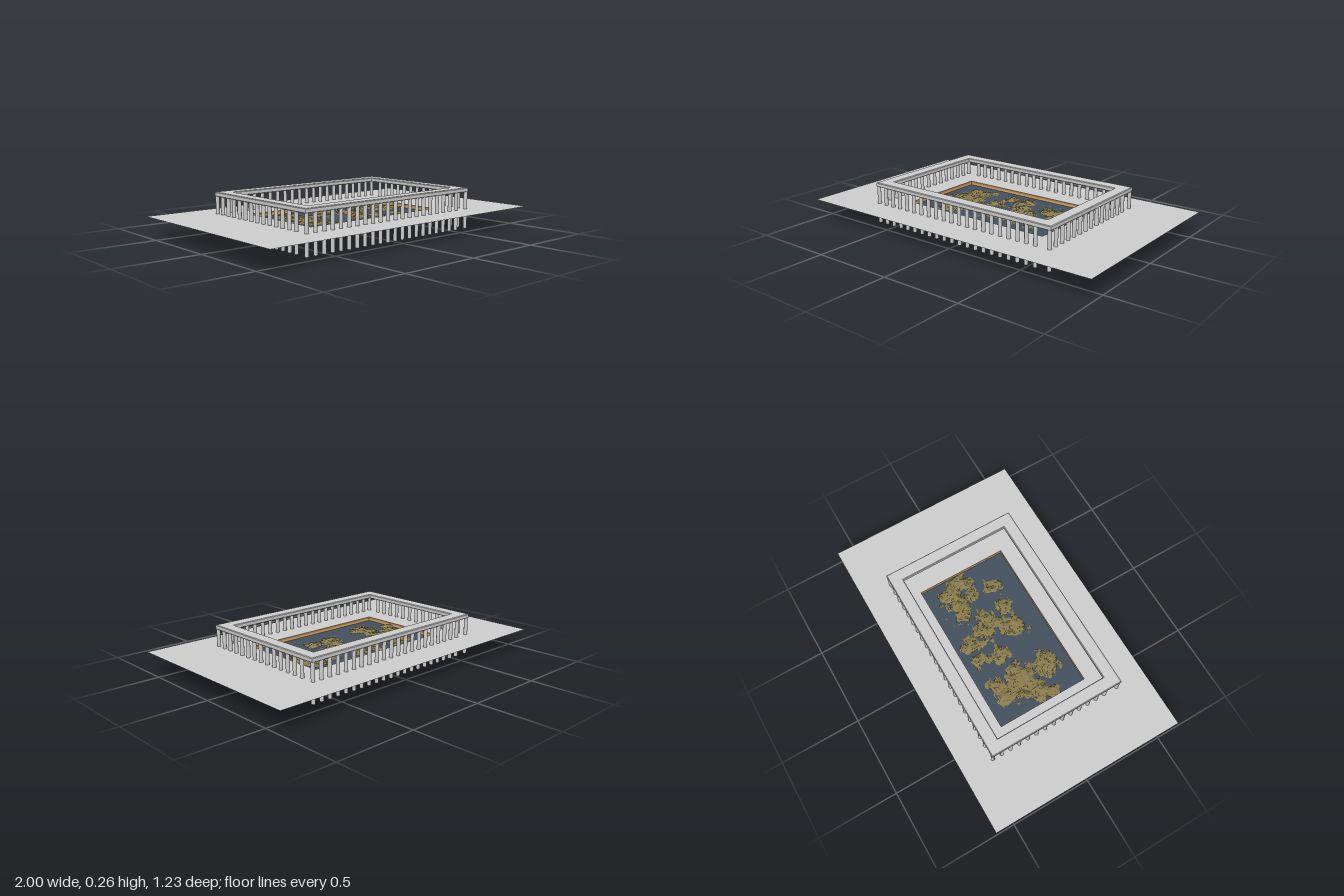
import * as THREE from 'three';

const material = (color, extra = {}) => new THREE.MeshStandardMaterial({ color, ...extra });

const HOLE_X = 0.493, HOLE_Z = 0.288, WATER_Y = 0.1, FLOOR_Y = 0.125;

function rectPath(PathType, hx, hz) {
  const p = new PathType();
  p.moveTo(-hx, -hz);
  p.lineTo(hx, -hz);
  p.lineTo(hx, hz);
  p.lineTo(-hx, hz);
  p.closePath();
  return p;
}

// Flat rectangular ring lying in XZ, extruded from y0 to y1
function ring(name, outer, inner, y0, y1, mat, bevel = 0) {
  const shape = rectPath(THREE.Shape, outer[0] - bevel, outer[1] - bevel);
  shape.holes.push(rectPath(THREE.Path, inner[0] + bevel, inner[1] + bevel));
  const geo = new THREE.ExtrudeGeometry(shape, {
    depth: y1 - y0 - 2 * bevel, bevelEnabled: bevel > 0,
    bevelSize: bevel, bevelThickness: bevel, bevelSegments: 1,
  });
  geo.rotateX(-Math.PI / 2);
  const mesh = new THREE.Mesh(geo, mat);
  mesh.name = name;
  mesh.position.y = y0 + bevel;
  return mesh;
}

// Seeded lattice noise, smooth between grid points, in -1..1
function hash(i, j) {
  const s = Math.sin(i * 127.1 + j * 311.7 + 17.3) * 43758.5453;
  return (s - Math.floor(s)) * 2 - 1;
}
function noise(x, z) {
  const i = Math.floor(x), j = Math.floor(z), ease = (t) => t * t * (3 - 2 * t);
  const u = ease(x - i), v = ease(z - j), mix = THREE.MathUtils.lerp;
  return mix(mix(hash(i, j), hash(i + 1, j), u), mix(hash(i, j + 1), hash(i + 1, j + 1), u), v);
}

// Land masses: x, z, radius
const LAND = [
  [-0.32, -0.05, 0.12], [-0.35, -0.17, 0.06], [-0.26, -0.17, 0.06], [-0.42, 0.03, 0.07],
  [-0.46, 0.08, 0.05], [-0.3, 0.14, 0.08], [-0.27, 0.19, 0.05], [-0.23, -0.05, 0.05],
  [-0.1, -0.06, 0.06], [-0.08, -0.19, 0.045], [0.05, -0.18, 0.06], [0.08, -0.09, 0.07],
  [0.11, 0.0, 0.08], [0.02, 0.09, 0.08], [0.16, 0.11, 0.06], [0.31, 0.13, 0.06],
  [0.17, -0.04, 0.05], [0.27, -0.12, 0.08], [0.39, -0.13, 0.08], [0.43, -0.03, 0.06],
  [0.33, -0.02, 0.05],
];
function landField(x, z) {
  let f = -1;
  for (const [cx, cz, r] of LAND) f = Math.max(f, 1 - Math.hypot(x - cx, z - cz) / r);
  return f + 0.4 * noise(x * 22, z * 22) + 0.3 * noise(x * 50, z * 50) + 0.2 * noise(x * 95, z * 95) - 0.05;
}

// Rugged height surface, kept only where the land rises out of the water
function landGeometry() {
  const nx = 170, nz = 100, positions = [];
  const point = (i, j) => {
    const x = (i / nx - 0.5) * 2 * HOLE_X, z = (j / nz - 0.5) * 2 * HOLE_Z;
    const f = landField(x, z);
    const y = WATER_Y + THREE.MathUtils.clamp(f * 0.018, -0.002, 0.014);
    return { f, p: [x, y, z] };
  };
  for (let i = 0; i < nx; i++) {
    for (let j = 0; j < nz; j++) {
      const a = point(i, j), b = point(i, j + 1), c = point(i + 1, j + 1), d = point(i + 1, j);
      if (Math.max(a.f, b.f, c.f, d.f) <= 0) continue;
      for (const v of [a, b, c, a, c, d]) positions.push(...v.p);
    }
  }
  const geo = new THREE.BufferGeometry();
  geo.setAttribute('position', new THREE.Float32BufferAttribute(positions, 3));
  geo.computeVertexNormals();
  return geo;
}

export function createModel() {
  const model = new THREE.Group();
  model.name = 'mapTableWithColonnade';
  const grey = material(0xcccccc);
  const wood = material(0xdca862);

  // Thin floor with a rectangular opening over the map
  const floorShape = rectPath(THREE.Shape, 1, 0.617);
  floorShape.holes.push(rectPath(THREE.Path, HOLE_X, HOLE_Z));
  const floor = new THREE.Mesh(
    new THREE.ShapeGeometry(floorShape).rotateX(-Math.PI / 2),
    material(0xcccccc, { side: THREE.DoubleSide }));
  floor.name = 'floor';
  floor.position.y = FLOOR_Y;
  model.add(floor);

  // Wooden tray around the map, with a narrower darker lip under the floor
  model.add(ring('trayFrame', [0.512, 0.302], [HOLE_X, HOLE_Z], 0.07, 0.113, wood));
  model.add(ring('trayLip', [0.503, 0.296], [HOLE_X, HOLE_Z], 0.113, FLOOR_Y - 0.001, material(0xa58358)));

  // Map: water sheet and land relief
  const water = new THREE.Mesh(
    new THREE.PlaneGeometry(2 * HOLE_X, 2 * HOLE_Z).rotateX(-Math.PI / 2),
    material(0x43515d, { side: THREE.DoubleSide }));
  water.name = 'water';
  water.position.y = WATER_Y;
  model.add(water);
  const land = new THREE.Mesh(landGeometry(), material(0x897b4c, { flatShading: true }));
  land.name = 'land';
  model.add(land);

  // Raised rectangular top rail
  model.add(ring('topRail', [0.643, 0.433], [0.567, 0.355], 0.23, 0.257, grey, 0.004));

  // Posts: each side starts at one corner and runs towards the next
  const postGeo = new THREE.LatheGeometry(
    [[0, 0], [0.008, 0], [0.0115, 0.005], [0.0115, 0.228], [0.009, 0.234], [0, 0.234]]
      .map(([r, y]) => new THREE.Vector2(r, y)), 12);
  const posts = new THREE.Group();
  posts.name = 'posts';
  const step = 0.0586, px = 0.631, pz = 0.424;
  const addPost = (x, z) => {
    const post = new THREE.Mesh(postGeo, grey);
    post.name = 'post';
    post.position.set(x, 0, z);
    posts.add(post);
  };
  for (const s of [-1, 1]) {
    for (let i = 0; i < 21; i++) addPost(s * (-px + i * step), s * pz);
    for (let i = 0; i < 14; i++) addPost(s * px, s * (pz - i * step));
  }
  model.add(posts);

  return model;
}
